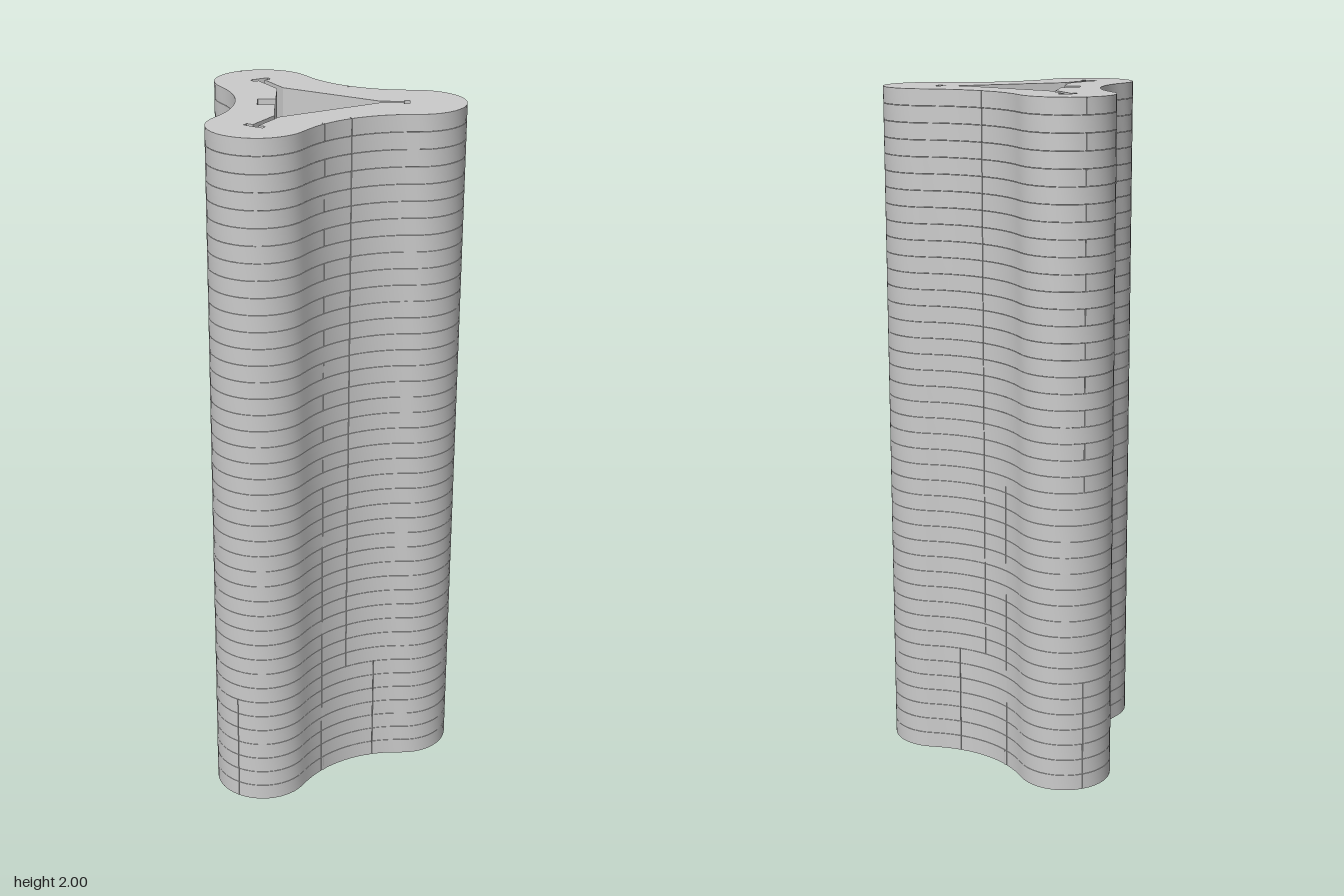
import * as THREE from 'three';
import { toCreasedNormals } from 'three/addons/utils/BufferGeometryUtils.js';

const FLOORS = 42, HEIGHT = 2, PITCH = HEIGHT / FLOORS;
const SKIN = 0.012;            // facade thickness
const LOBE_N = 20, BAY_N = 16; // segments per rounded wing tip and per concave bay
const COUNT = 3 * (LOBE_N + BAY_N);
const CZ = 0.068;              // plan centre

// Three-lobed plan outline in (x, z), offset inwards by d
function outline(d) {
  const lobeR = 0.137 - d, lobeDist = 0.283, bayR = 0.327 + d, bayDist = 0.536;
  const halfLobe = 1.604, halfBay = 0.556;
  const pts = [];
  const add = (dir, dist, r, a) => pts.push(new THREE.Vector2(
    Math.cos(dir) * dist + r * Math.cos(a), CZ + Math.sin(dir) * dist + r * Math.sin(a)));
  for (let k = 0; k < 3; k++) {
    const phi = -Math.PI / 2 + k * 2 * Math.PI / 3, psi = phi + Math.PI / 3;
    for (let i = 0; i < LOBE_N; i++)
      add(phi, lobeDist, lobeR, phi - halfLobe + 2 * halfLobe * i / LOBE_N);
    for (let i = 0; i < BAY_N; i++)
      add(psi, bayDist, bayR, psi + Math.PI + halfBay - 2 * halfBay * i / BAY_N);
  }
  return pts;
}

// Triangular courtyard with T-ended slots and one notch, in (x, z)
const COURT = [
  [0.008, -0.11], [0.008, -0.218], [0.028, -0.218], [0.028, -0.237], [-0.027, -0.237],
  [-0.027, -0.218], [-0.011, -0.218], [-0.011, -0.11],
  [-0.072, -0.006], [-0.115, -0.03], [-0.145, 0.022], [-0.103, 0.045],
  [-0.162, 0.15], [-0.255, 0.204], [-0.265, 0.187], [-0.278, 0.195],
  [-0.25, 0.246], [-0.236, 0.238], [-0.247, 0.22], [-0.157, 0.168],
  [0.157, 0.168], [0.211, 0.2], [0.205, 0.207], [0.219, 0.215],
  [0.238, 0.186], [0.225, 0.179], [0.219, 0.189], [0.163, 0.155],
].map(([x, z]) => new THREE.Vector2(x, z));

// Extrude a plan polygon upwards
function prism(pts, height, hole) {
  const flip = (list) => list.map((p) => new THREE.Vector2(p.x, -p.y));
  const shape = new THREE.Shape(flip(pts));
  if (hole) shape.holes.push(new THREE.Path(flip(hole)));
  const geo = new THREE.ExtrudeGeometry(shape, { depth: height, bevelEnabled: false });
  geo.rotateX(-Math.PI / 2);
  return toCreasedNormals(geo, 0.5);
}

export function createModel() {
  const tower = new THREE.Group();
  tower.name = 'tower';
  const material = new THREE.MeshStandardMaterial({ color: 0xcccccc });
  const add = (parent, geo, name, y = 0) => {
    const mesh = new THREE.Mesh(geo, material);
    mesh.name = name;
    mesh.position.y = y;
    parent.add(mesh);
    return mesh;
  };
  const outer = outline(0), inner = outline(SKIN);

  // Facade panel between two outline indices, with a narrow joint at each end
  const panel = (a, b) => {
    const strip = (pts) => {
      const list = [];
      for (let i = a; i <= b; i++) list.push(pts[i % COUNT].clone());
      const n = list.length - 1, first = list[0].clone(), last = list[n].clone();
      list[0].lerp(list[1], 0.04);
      list[n].lerp(list[n - 1], 0.04);
      return first.equals(last) ? list.slice(0, n) : list;
    };
    return prism([...strip(outer), ...strip(inner).reverse()], PITCH - 0.0012);
  };
  const panelSet = (breaks) => breaks.map((a, i) =>
    panel(a, i + 1 < breaks.length ? breaks[i + 1] : breaks[0] + COUNT));

  // Joint layouts: base floors, middle floors, alternating upper floors
  const sets = {
    base: panelSet([10, 24, 32, 60, 68, 82, 96, 104]),
    middle: panelSet([24, 28, 64, 68, 100, 104]),
    even: panelSet([28, 64, 100]),
    odd: panelSet([10, 28, 64, 68, 100]),
  };
  for (let f = 0; f < FLOORS; f++) {
    const floor = new THREE.Group();
    floor.name = `facadeFloor${f + 1}`;
    floor.position.y = f * PITCH + 0.0012;
    const set = f < 7 ? sets.base : f < 19 ? sets.middle : f % 2 ? sets.odd : sets.even;
    set.forEach((geo) => add(floor, geo, 'facadePanel'));
    tower.add(floor);
  }

  // Body with the courtyard shaft, raised above the open ground storey
  add(tower, prism(inner, HEIGHT - PITCH, COURT), 'body', PITCH);

  // Ground storey walls: a box between two plan points, pushed sideways by offset
  const ground = new THREE.Group();
  ground.name = 'groundStorey';
  tower.add(ground);
  const wall = (p, q, thick, offset, name) => {
    const d = q.clone().sub(p), len = d.length();
    d.normalize();
    const mesh = add(ground, new THREE.BoxGeometry(len, PITCH, thick), name, PITCH / 2);
    mesh.position.x = (p.x + q.x) / 2 - d.y * offset;
    mesh.position.z = (p.y + q.y) / 2 + d.x * offset;
    mesh.rotation.y = -Math.atan2(d.y, d.x);
  };
  COURT.forEach((p, i) => wall(p, COURT[(i + 1) % COURT.length], 0.008, 0.004, 'courtyardWall'));

  // Partitions from the courtyard to the facade, repeated for each wing
  const centre = new THREE.Vector2(0, CZ);
  const rel = (along, side, k) => new THREE.Vector2(side, CZ - along)
    .rotateAround(centre, k * 2 * Math.PI / 3);
  for (let k = 0; k < 3; k++) {
    for (const s of [-1, 1]) {
      wall(rel(0.175, s * 0.012, k), rel(0.175, s * 0.15, k), 0.008, 0, 'partition');
      wall(rel(0.285, s * 0.03, k), rel(0.285, s * 0.127, k), 0.008, 0, 'partition');
    }
    wall(rel(0.308, 0, k), rel(0.41, 0, k), 0.008, 0, 'partition');
    wall(rel(-0.1, 0, k), rel(-0.2, 0, k), 0.008, 0, 'partition');
  }
  return tower;
}
